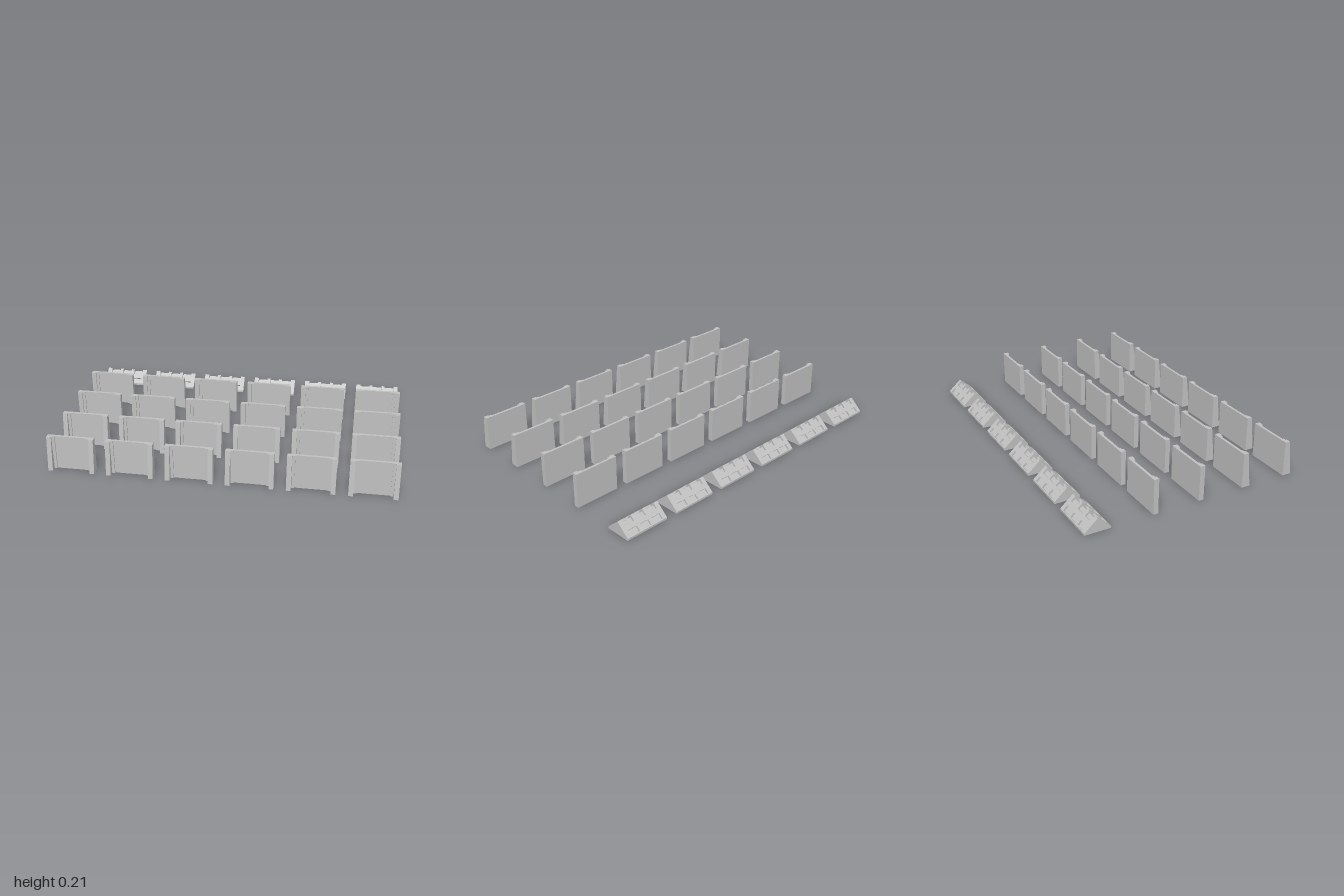
import * as THREE from 'three';

const concrete = new THREE.MeshStandardMaterial({ color: 0xc0c0c0 });
concrete.name = 'concrete grey';

const HALF = 0.1375; // half the width of every piece
const HEIGHT = 0.21;

// Extrudes a [z, y] side profile along x from x0 to x1
function extrudeX(points, x0, x1) {
  const shape = new THREE.Shape(points.map(([z, y]) => new THREE.Vector2(z, y)));
  const geo = new THREE.ExtrudeGeometry(shape, { depth: x1 - x0, bevelEnabled: false });
  return geo.rotateY(-Math.PI / 2).translate(x1, 0, 0);
}

function add(group, name, geo) {
  const mesh = new THREE.Mesh(geo, concrete);
  mesh.name = name;
  group.add(mesh);
}

// Straight side profile with its back at z = 0
const slab = (depth) => [[0, 0], [depth, 0], [depth, HEIGHT], [0, HEIGHT]];

// Wall panel with a stepped rim and side posts; footDepth above 0.03 slopes the posts
function wallPanel(footDepth) {
  const panel = new THREE.Group();
  const post = [[0, 0], [footDepth, 0], [0.03, HEIGHT], [0, HEIGHT]];
  add(panel, 'plate', extrudeX(slab(0.015), -0.093, 0.093));
  add(panel, 'rightStep', extrudeX(slab(0.022), -0.093, -0.11));
  add(panel, 'leftStep', extrudeX(slab(0.022), 0.093, 0.11));
  panel.children[1].geometry.dispose();
  panel.children[1].geometry = extrudeX(slab(0.022), -0.11, -0.093);
  add(panel, 'rightPost', extrudeX(post, -HALF, -0.11));
  add(panel, 'leftPost', extrudeX(post, 0.11, HALF));
  return panel;
}

// Mirrors a half profile, listed from eave to ridge, into a closed outline
function ridgeOutline(half) {
  const back = half.filter(([z]) => z > 0).reverse().map(([z, y]) => [-z, y]);
  return [[0.077, 0], ...half, ...back, [-0.077, 0]];
}

// Low gabled block with recessed pockets on both slopes and across the ridge
function gabledBlock() {
  const block = new THREE.Group();
  const solid = ridgeOutline([[0.077, 0.012], [0, 0.08]]);
  const pocketed = ridgeOutline([
    [0.077, 0.012], [0.072, 0.0164], [0.064, 0.0074], [0.04, 0.0286],
    [0.048, 0.0376], [0.027, 0.0562], [0.019, 0.0472], [0, 0.064],
  ]);
  const cuts = [-HALF, -0.11, -0.05, -0.03, 0.03, 0.05, 0.11, HALF];
  for (let i = 0; i < 7; i++) {
    const isPocket = i % 2 === 1;
    add(block, isPocket ? 'pocketSection' : 'rib',
      extrudeX(isPocket ? pocketed : solid, cuts[i], cuts[i + 1]));
  }
  return block;
}

export function createModel() {
  const model = new THREE.Group();
  model.name = 'wallPanelSet';
  const rows = [
    { name: 'frontButtressedPanel', z: 0.608, make: () => wallPanel(0.054) },
    { name: 'buttressedPanel', z: 0.322, make: () => wallPanel(0.052) },
    { name: 'straightPanel', z: 0.035, make: () => wallPanel(0.03) },
    { name: 'rearStraightPanel', z: -0.253, make: () => wallPanel(0.03) },
    { name: 'gabledBlock', z: -0.585, make: gabledBlock },
  ];
  for (const { name, z, make } of rows) {
    const piece = make();
    for (let i = 0; i < 6; i++) {
      const copy = piece.clone();
      copy.name = name;
      copy.position.set((i - 2.5) * 0.345, 0, z);
      model.add(copy);
    }
  }
  return model;
}
